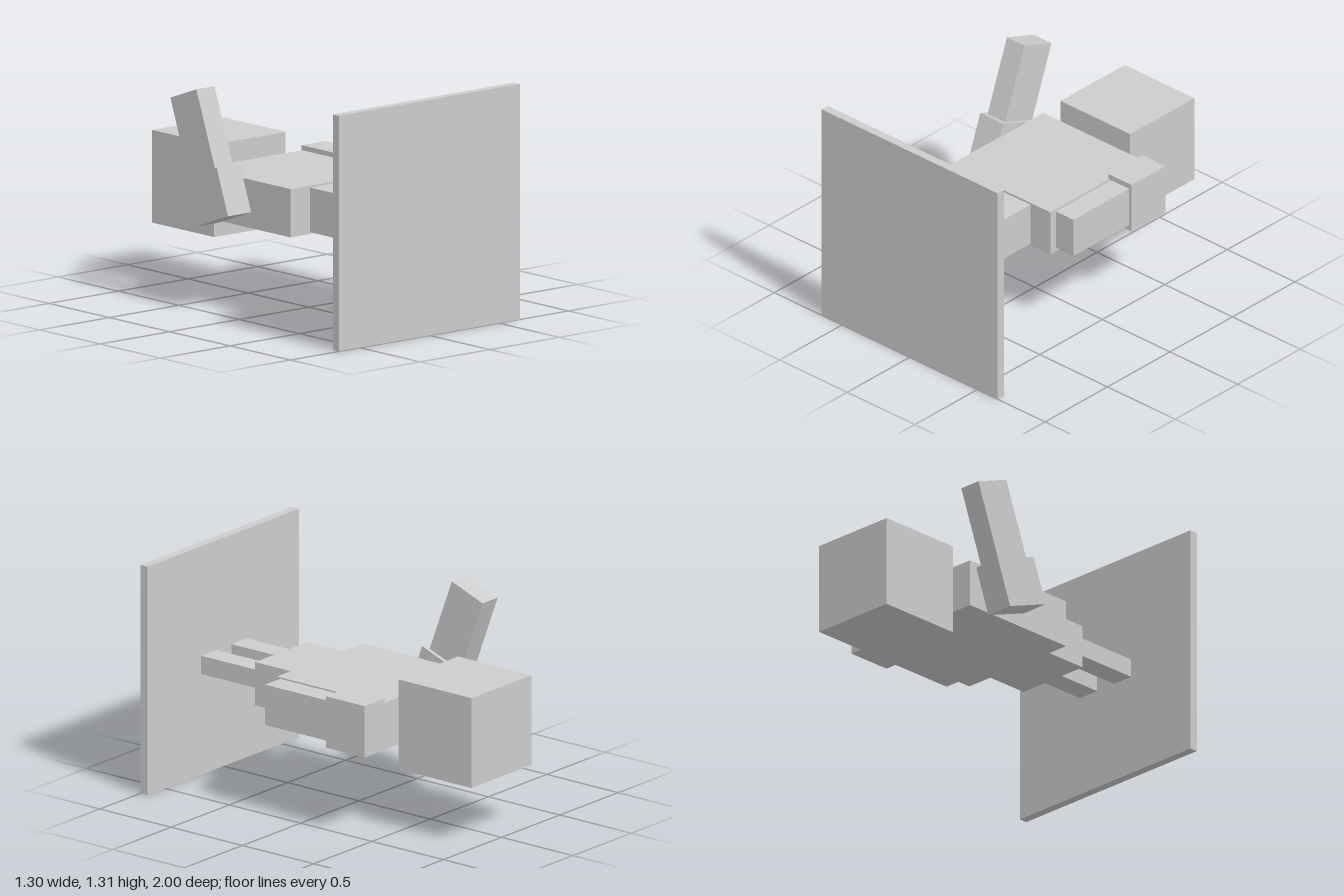
import * as THREE from 'three';

export function createModel() {
  const model = new THREE.Group();
  const grey = new THREE.MeshStandardMaterial({ color: 0xcccccc });
  grey.name = 'plain grey';

  const box = (name, size, position, tilt = 0) => {
    const mesh = new THREE.Mesh(new THREE.BoxGeometry(...size), grey);
    mesh.name = name;
    mesh.position.set(...position);
    mesh.rotation.x = tilt;
    model.add(mesh);
  };

  // upright slab the figure's feet rest against
  box('basePlate', [1.3, 1.306, 0.05], [0, 0.653, 0.975]);

  // body lying along z, head towards the back
  box('head', [0.514, 0.514, 0.514], [0, 0.604, -0.743]);
  box('torso', [0.738, 0.268, 0.742], [0, 0.614, -0.097]);
  box('hips', [0.45, 0.247, 0.272], [-0.002, 0.613, 0.409]);
  for (const [name, x] of [['leftLeg', 0.126], ['rightLeg', -0.134]]) {
    box(name, [0.13, 0.104, 0.406], [x, 0.628, 0.747]);
  }

  // left arm, straight along the side
  box('leftUpperArm', [0.17, 0.294, 0.27], [0.445, 0.628, -0.338]);
  box('leftForearm', [0.13, 0.23, 0.445], [0.445, 0.629, 0.019]);

  // right arm, raised and leaning towards the head
  const lean = -0.355;
  box('rightUpperArm', [0.17, 0.27, 0.294], [-0.45, 0.644, -0.236], lean);
  box('rightForearm', [0.13, 0.445, 0.23], [-0.45, 0.977, -0.367], lean);

  return model;
}
